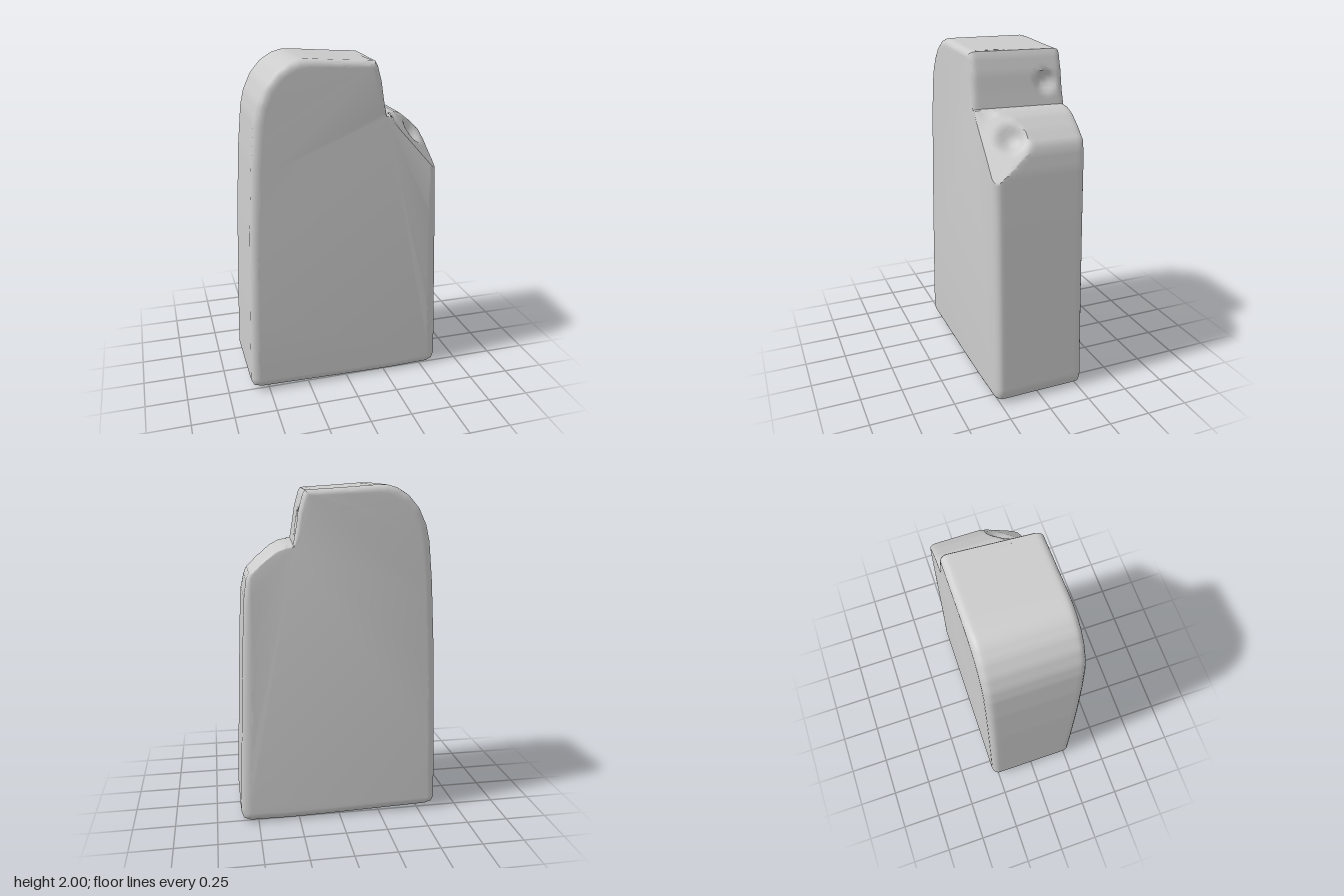
import * as THREE from 'three';
import { toCreasedNormals } from 'three/addons/utils/BufferGeometryUtils.js';

// Front outline, counter-clockwise: x, y, width of the rounded edge
const OUTLINE = [
  [-0.61, 0.07, 0.05], [-0.595, 0.04, 0.05], [-0.55, 0.025, 0.05], [0, 0.01, 0.05], [0.3, 0.004, 0.05],
  [0.55, 0.008, 0.05], [0.59, 0.025, 0.06], [0.605, 0.07, 0.065], [0.583, 0.6, 0.065], [0.562, 1.1, 0.055],
  [0.546, 1.38, 0.04], [0.532, 1.48, 0.03], [0.515, 1.525, 0.02], [0.45, 1.585, 0.015], [0.37, 1.645, 0.012],
  [0.31, 1.668, 0.01], [0.265, 1.672, 0.01], [0.25, 1.76, 0.025], [0.235, 1.86, 0.03], [0.21, 1.95, 0.035],
  [0.196, 1.974, 0.035], [0, 1.985, 0.035], [-0.2, 1.999, 0.04], [-0.27, 2, 0.045], [-0.33, 1.984, 0.05],
  [-0.4, 1.94, 0.05], [-0.46, 1.87, 0.05], [-0.505, 1.775, 0.05], [-0.527, 1.68, 0.05],
  [-0.55, 1.45, 0.05], [-0.575, 1.05, 0.05], [-0.597, 0.5, 0.05],
];

// Subdivide the outline evenly and give each point a softened inward direction
function denseOutline(step) {
  const pts = [];
  OUTLINE.forEach((a, i) => {
    const b = OUTLINE[(i + 1) % OUTLINE.length];
    const n = Math.max(1, Math.round(Math.hypot(b[0] - a[0], b[1] - a[1]) / step));
    for (let k = 0; k < n; k++) {
      const [x, y, bevel] = a.map((v, c) => v + (b[c] - v) * k / n);
      pts.push({ x, y, bevel });
    }
  });
  const N = pts.length, at = (i) => pts[(i + N) % N];
  pts.forEach((p, i) => {
    const inward = new THREE.Vector2();
    for (let k = -3; k <= 3; k++) {
      const a = at(i + k - 1), b = at(i + k + 1);
      inward.add(new THREE.Vector2(a.y - b.y, b.x - a.x).normalize().multiplyScalar(4 - Math.abs(k)));
    }
    p.inward = inward.normalize();
  });
  return pts;
}

// Layers from front to back: t runs 0..1 through the thickness, inset 1..0..1 at the rounded edges
function layerList() {
  const layers = [], K = 6, M = 26, edge = 0.075;
  for (let k = 0; k < K; k++) {
    const a = (k / K) * Math.PI / 2;
    layers.push({ t: edge * (1 - Math.cos(a)), inset: 1 - Math.sin(a) });
  }
  for (let k = 0; k <= M; k++) layers.push({ t: edge + (1 - 2 * edge) * k / M, inset: 0 });
  for (let k = K - 1; k >= 0; k--) layers.push({ t: 1 - layers[k].t, inset: layers[k].inset });
  return layers;
}

// Small hollows: centre, radius, push
const DENTS = [
  { c: new THREE.Vector3(0.435, 1.54, 0.12), r: 0.085, push: new THREE.Vector3(-0.02, -0.022, -0.014) },
  { c: new THREE.Vector3(0.245, 1.8, -0.17), r: 0.07, push: new THREE.Vector3(-0.035, 0, 0) },
];

function placePoint(p, { t, inset }) {
  let x = p.x + p.inward.x * p.bevel * inset;
  let y = p.y + p.inward.y * p.bevel * inset;
  const front = 0.283 - 0.012 * x - 0.01 * y, back = -0.286 + 0.006 * y;
  const z = THREE.MathUtils.lerp(front, back, t);
  // the broken wall runs slightly askew
  if (p.x > 0.15 && p.x < 0.31 && p.y > 1.6) x -= 0.035 * (1 - t);
  // broken front corner: a slanting flat below the ledge
  if (p.y < 1.67 && p.x > 0.25) y = Math.min(y, 1.655 - 1.122 * (x - 0.25) - 0.729 * (z - 0.26));
  const v = new THREE.Vector3(x, y, z);
  for (const { c, r, push } of DENTS) {
    const f = Math.max(0, 1 - v.distanceTo(c) / r);
    v.addScaledVector(push, Math.min(1, f * 1.6));
  }
  return v;
}

function slabGeometry() {
  const outline = denseOutline(0.025), layers = layerList();
  const N = outline.length, L = layers.length;
  const verts = layers.flatMap((layer) => outline.map((p) => placePoint(p, layer)));
  const index = [];
  // sides, top, bottom and rounded edges
  for (let j = 0; j < L - 1; j++) {
    for (let i = 0; i < N; i++) {
      const a = j * N + i, b = j * N + (i + 1) % N;
      index.push(a, a + N, b, b, a + N, b + N);
    }
  }
  // front and back faces
  const cap = (start, flip) => {
    const flat = verts.slice(start, start + N).map((v) => new THREE.Vector2(v.x, v.y));
    for (const [a, b, c] of THREE.ShapeUtils.triangulateShape(flat, [])) {
      index.push(start + a, start + (flip ? c : b), start + (flip ? b : c));
    }
  };
  cap(0, false);
  cap((L - 1) * N, true);
  const geo = new THREE.BufferGeometry().setFromPoints(verts);
  geo.setIndex(index);
  return toCreasedNormals(geo, 0.6);
}

export function createModel() {
  const group = new THREE.Group();
  group.name = 'brokenStone';
  const slab = new THREE.Mesh(slabGeometry(), new THREE.MeshStandardMaterial({ color: 0xcccccc }));
  slab.name = 'stoneSlab';
  group.add(slab);
  return group;
}
